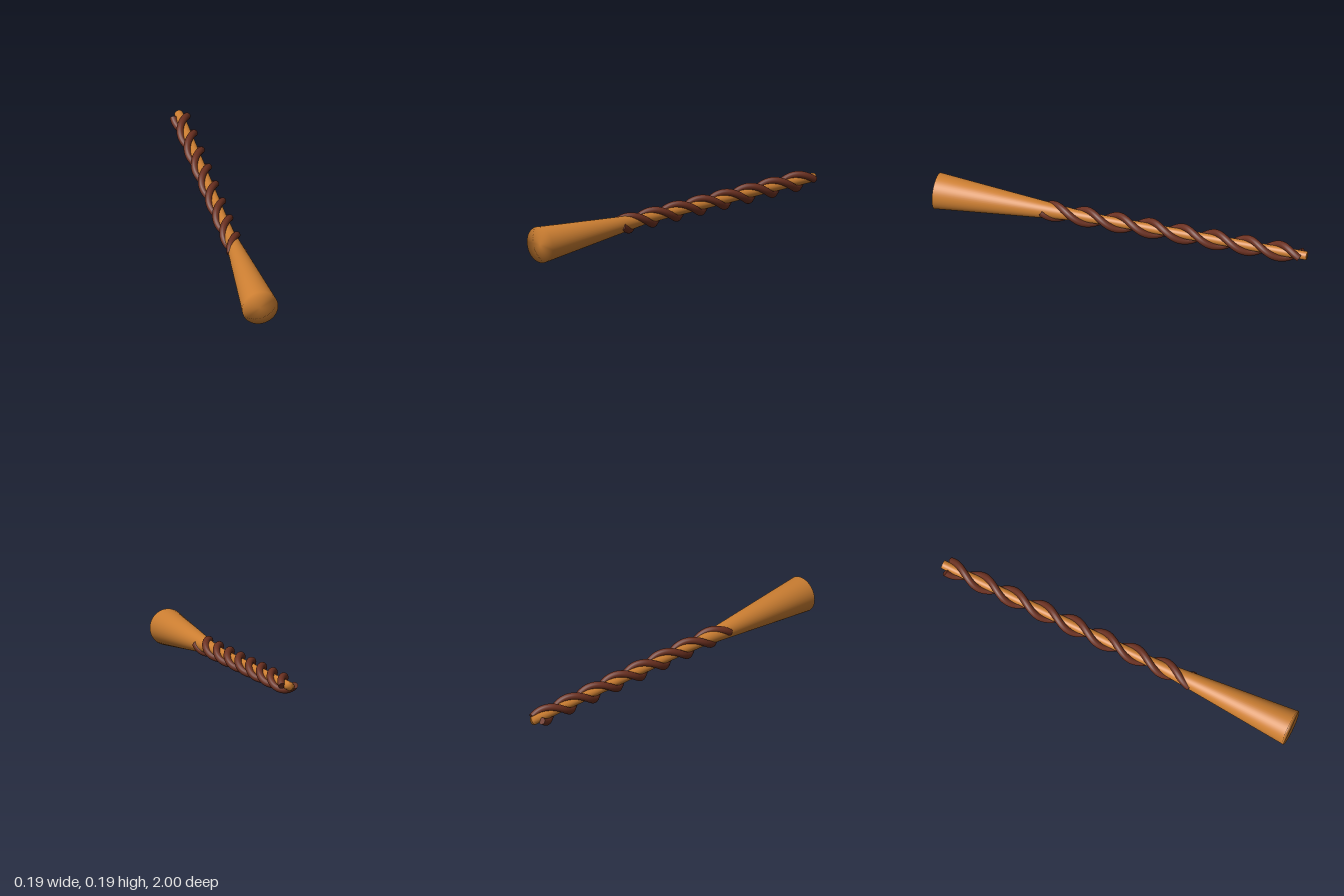
import * as THREE from 'three';

const CENTER_Y = 0.096;
const START_Z = 0.43, END_Z = -0.97, TURNS = 4;
const HELIX_RADIUS = 0.035, STRAND_RADIUS = 0.0185;

// Helix around the z axis, running from the handle towards the tip
class Helix extends THREE.Curve {
  constructor(phase) {
    super();
    this.phase = phase;
  }
  getPoint(t, target = new THREE.Vector3()) {
    const a = this.phase - t * TURNS * Math.PI * 2;
    return target.set(
      Math.cos(a) * HELIX_RADIUS,
      Math.sin(a) * HELIX_RADIUS,
      THREE.MathUtils.lerp(START_Z, END_Z, t)
    );
  }
}

function createStrand(name, phase, material) {
  const strand = new THREE.Group();
  strand.name = name;
  const curve = new Helix(phase);
  const tube = new THREE.Mesh(new THREE.TubeGeometry(curve, 240, STRAND_RADIUS, 16), material);
  tube.name = name + 'Tube';
  strand.add(tube);

  // Flat discs closing both ends
  for (const t of [0, 1]) {
    const cap = new THREE.Mesh(new THREE.CircleGeometry(STRAND_RADIUS, 16), material);
    cap.name = name + (t ? 'TipCap' : 'HandleCap');
    cap.position.copy(curve.getPointAt(t));
    const outward = curve.getTangentAt(t).multiplyScalar(t ? 1 : -1);
    cap.quaternion.setFromUnitVectors(new THREE.Vector3(0, 0, 1), outward);
    strand.add(cap);
  }
  return strand;
}

export function createModel() {
  const model = new THREE.Group();
  model.name = 'twistedWand';
  const wood = new THREE.MeshStandardMaterial({ color: 0xcd7f32 });
  const vine = new THREE.MeshStandardMaterial({ color: 0x6b3020 });

  // Slim shaft flaring into a conical handle, closed at both ends
  const profile = [
    [0, -1], [0.023, -1], [0.0245, 0.1], [0.029, 0.25], [0.042, 0.4], [0.095, 1], [0, 1],
  ].map(([r, z]) => new THREE.Vector2(r, z));
  const shaft = new THREE.Mesh(new THREE.LatheGeometry(profile, 48).rotateX(Math.PI / 2), wood);
  shaft.name = 'shaftAndHandle';
  model.add(shaft);

  // Two opposite strands wound around the shaft
  model.add(createStrand('leftStrand', 0, vine));
  model.add(createStrand('rightStrand', Math.PI, vine));

  model.position.y = CENTER_Y;
  return model;
}
